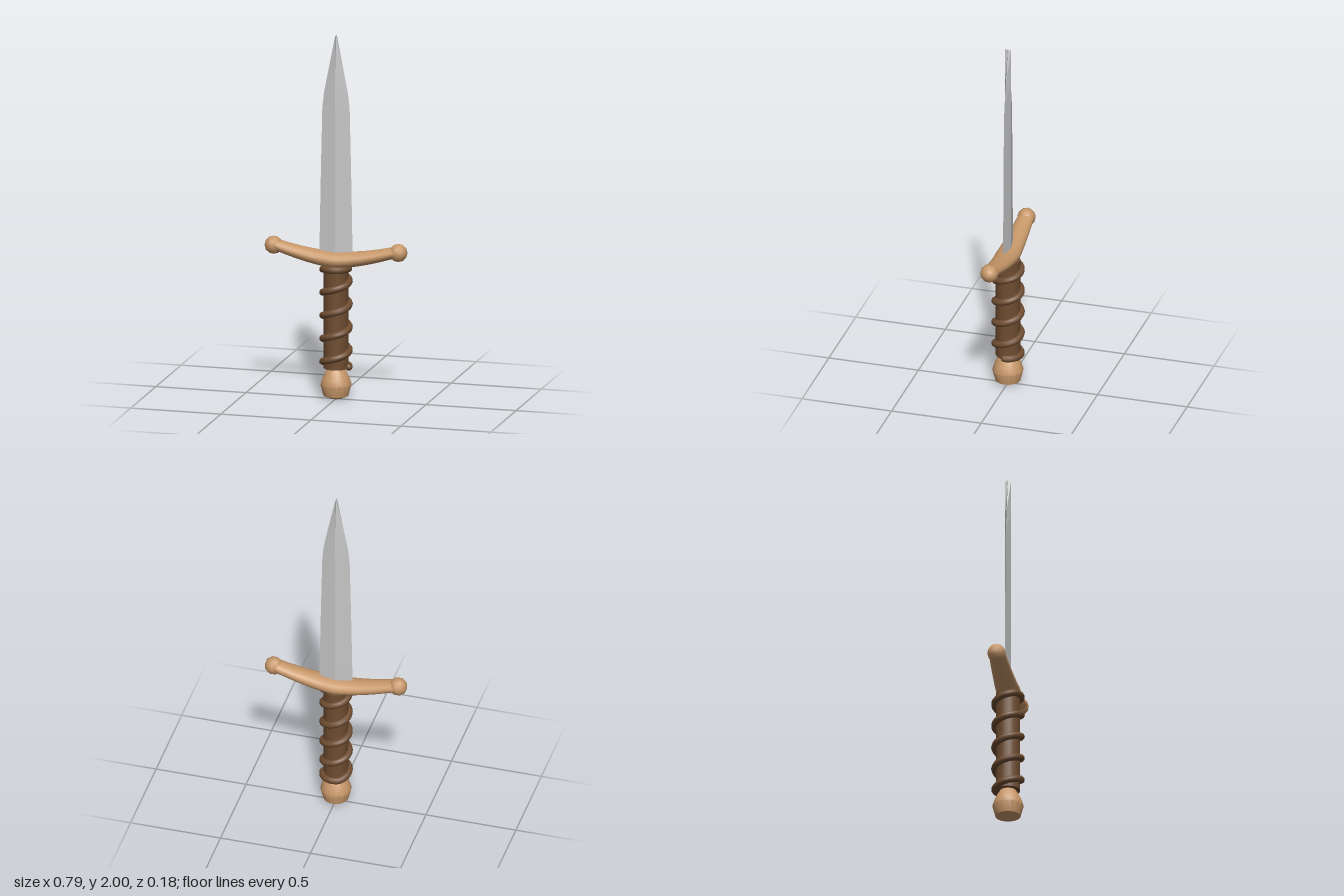
import * as THREE from 'three';
import { toCreasedNormals } from 'three/addons/utils/BufferGeometryUtils.js';

// Skin a list of equal-length rings of Vector3 into a tube-like surface
function loft(rings) {
  const n = rings[0].length;
  const index = [];
  for (let i = 0; i < rings.length - 1; i++) {
    for (let j = 0; j < n; j++) {
      const a = i * n + j, b = i * n + (j + 1) % n;
      index.push(a, b, b + n, a, b + n, a + n);
    }
  }
  const geometry = new THREE.BufferGeometry().setFromPoints(rings.flat());
  geometry.setIndex(index);
  geometry.computeVertexNormals();
  return geometry;
}

export function createModel() {
  const group = new THREE.Group();
  const material = (name, color) => {
    const m = new THREE.MeshStandardMaterial({ color });
    m.name = name;
    return m;
  };
  const steel = material('steel', 0xc6c6c6);
  const bronze = material('bronze', 0xc8986a);
  const leather = material('leather', 0x6e4c30);

  const add = (name, geometry, mat, x = 0, y = 0, z = 0) => {
    const mesh = new THREE.Mesh(geometry, mat);
    mesh.name = name;
    mesh.position.set(x, y, z);
    group.add(mesh);
    return mesh;
  };

  // Blade: diamond section, the ridge keeps its depth up to the tip
  const depth = 0.017;
  const bladeRings = [
    [0.76, 0.093], [1.2, 0.085], [1.6, 0.076], [1.68, 0.067], [1.8, 0.044], [2, 0.001],
  ].map(([y, w]) => [
    new THREE.Vector3(w, y, 0), new THREE.Vector3(0, y, -depth),
    new THREE.Vector3(-w, y, 0), new THREE.Vector3(0, y, depth),
  ]);
  add('blade', toCreasedNormals(loft(bladeRings), 0.1), steel);

  // Crossguard: oval section, thinning and curving up towards the ends
  const guardRings = [];
  for (let i = 0; i <= 20; i++) {
    const x = -0.34 + 0.034 * i;
    const s = Math.abs(x) / 0.34;
    const y = 0.765 + 0.065 * Math.pow(s, 1.6);
    const ry = 0.045 - 0.014 * s, rz = 0.066 - 0.022 * s;
    guardRings.push(Array.from({ length: 20 }, (_, j) => {
      const a = j / 20 * Math.PI * 2;
      return new THREE.Vector3(x, y + ry * Math.cos(a), rz * Math.sin(a));
    }));
  }
  add('crossguard', loft(guardRings), bronze);

  // Faceted ball on each guard end
  for (const side of [-1, 1]) {
    add(side > 0 ? 'leftGuardBall' : 'rightGuardBall',
      new THREE.IcosahedronGeometry(0.05, 1), bronze, side * 0.346, 0.825, 0);
  }

  // Grip core
  add('grip', new THREE.CylinderGeometry(0.066, 0.066, 0.57, 20), leather, 0, 0.455, 0);

  // Cord wound around the grip, levelling out at both ends
  const cordPoints = [];
  for (let i = 0; i <= 120; i++) {
    const t = -0.5 + 5 * i / 120;
    const a = Math.PI - t * Math.PI * 2;
    const y = THREE.MathUtils.clamp(0.2 + 0.127 * t, 0.178, 0.722);
    cordPoints.push(new THREE.Vector3(0.071 * Math.cos(a), y, 0.071 * Math.sin(a)));
  }
  const cordCurve = new THREE.CatmullRomCurve3(cordPoints);
  add('gripCord', new THREE.TubeGeometry(cordCurve, 200, 0.019, 10), leather);
  for (const end of [cordPoints[0], cordPoints[120]]) {
    add('cordEnd', new THREE.SphereGeometry(0.019, 10, 8), leather, end.x, end.y, end.z);
  }

  // Pommel
  const pommelProfile = [
    [0, 0], [0.035, 0.005], [0.068, 0.02], [0.084, 0.08], [0.073, 0.115], [0.055, 0.15], [0.036, 0.18], [0, 0.18],
  ].map(([r, y]) => new THREE.Vector2(r, y));
  add('pommel', toCreasedNormals(new THREE.LatheGeometry(pommelProfile, 16), 0.6), bronze);

  return group;
}
